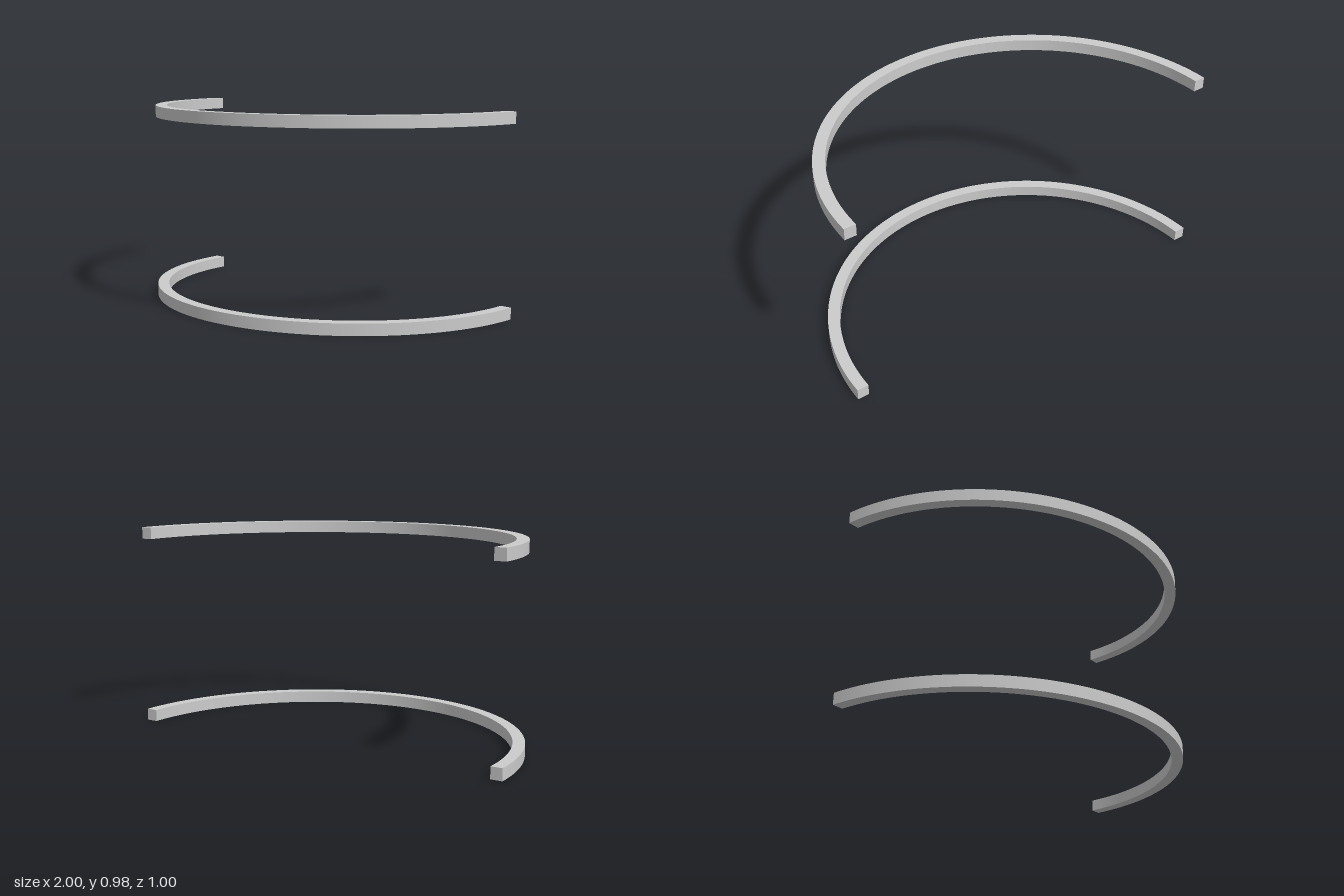
import * as THREE from 'three';
import { toCreasedNormals } from 'three/addons/utils/BufferGeometryUtils.js';

const OUTER = 1, INNER = 0.943, THICK = 0.057;

// Square-section half ring, bulging to +z, resting on y = 0
function halfRingGeometry() {
  const shape = new THREE.Shape();
  shape.absarc(0, 0, OUTER, 0, Math.PI, false);
  shape.absarc(0, 0, INNER, Math.PI, 0, true);
  shape.closePath();
  const geometry = new THREE.ExtrudeGeometry(shape, {
    depth: THICK, bevelEnabled: false, curveSegments: 64,
  });
  geometry.rotateX(Math.PI / 2);
  geometry.translate(0, THICK, -0.5);
  return toCreasedNormals(geometry, 0.5);
}

export function createModel() {
  const group = new THREE.Group();
  group.name = 'halfRingPair';
  const material = new THREE.MeshStandardMaterial({ color: 0xcccccc });
  const geometry = halfRingGeometry();

  // Two identical rails, one above the other
  for (const [name, y] of [['lowerRail', 0], ['upperRail', 0.925]]) {
    const rail = new THREE.Mesh(geometry, material);
    rail.name = name;
    rail.position.y = y;
    group.add(rail);
  }
  return group;
}
